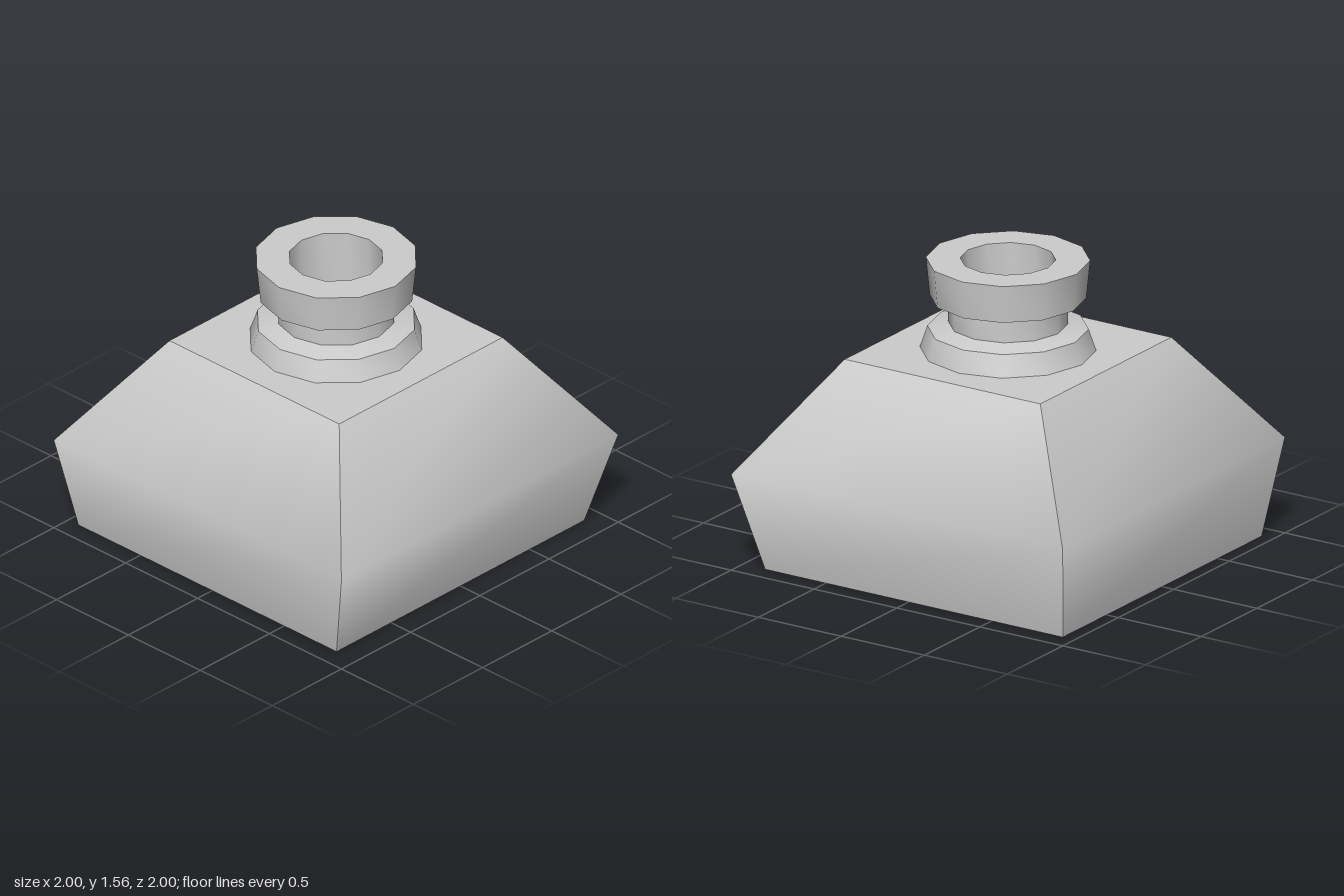
import * as THREE from 'three';
import { toCreasedNormals } from 'three/addons/utils/BufferGeometryUtils.js';

const CREASE = 0.92; // soft across the body's waist, sharp at corners and rims

// Closed four-sided solid from rectangular cross-sections [y, halfX, zFront, zBack]
function loftBox(sections) {
  const pos = [], idx = [];
  for (const [y, x, zf, zb] of sections) {
    pos.push(-x, y, zf, x, y, zf, x, y, zb, -x, y, zb);
  }
  for (let s = 0; s < sections.length - 1; s++) {
    for (let i = 0; i < 4; i++) {
      const a = s * 4 + i, b = s * 4 + (i + 1) % 4;
      idx.push(a, b, b + 4, a, b + 4, a + 4);
    }
  }
  const t = (sections.length - 1) * 4;
  idx.push(t, t + 1, t + 2, t, t + 2, t + 3); // top
  idx.push(0, 2, 1, 0, 3, 2); // base
  const g = new THREE.BufferGeometry();
  g.setAttribute('position', new THREE.Float32BufferAttribute(pos, 3));
  g.setIndex(idx);
  return toCreasedNormals(g, CREASE);
}

// Twelve-sided turned part from [radius, y] points
function turned(points) {
  const profile = points.map(([r, y]) => new THREE.Vector2(r, y));
  return toCreasedNormals(new THREE.LatheGeometry(profile, 12), CREASE);
}

export function createModel() {
  const model = new THREE.Group();
  model.name = 'bottle';
  const glass = new THREE.MeshStandardMaterial({ color: 0xcccccc });
  glass.name = 'pale grey';

  const add = (name, geometry) => {
    const mesh = new THREE.Mesh(geometry, glass);
    mesh.name = name;
    model.add(mesh);
  };

  // Square body: narrow base, wide waist, sloping shoulders
  add('body', loftBox([
    [0, 0.895, 0.865, -0.93],
    [0.51, 1, 1, -1],
    [1.083, 0.59, 0.59, -0.59],
  ]));

  // Collar at the foot of the neck
  add('collar', turned([[0.443, 1.083], [0.405, 1.195], [0.3, 1.22]]));

  // Straight neck
  add('neck', turned([[0.3, 1.22], [0.3, 1.33]]));

  // Flared lip with a flat rim and the open bore
  add('lip', turned([
    [0.3, 1.33], [0.393, 1.36], [0.413, 1.56], [0.24, 1.56], [0.24, 1.083],
  ]));

  return model;
}
